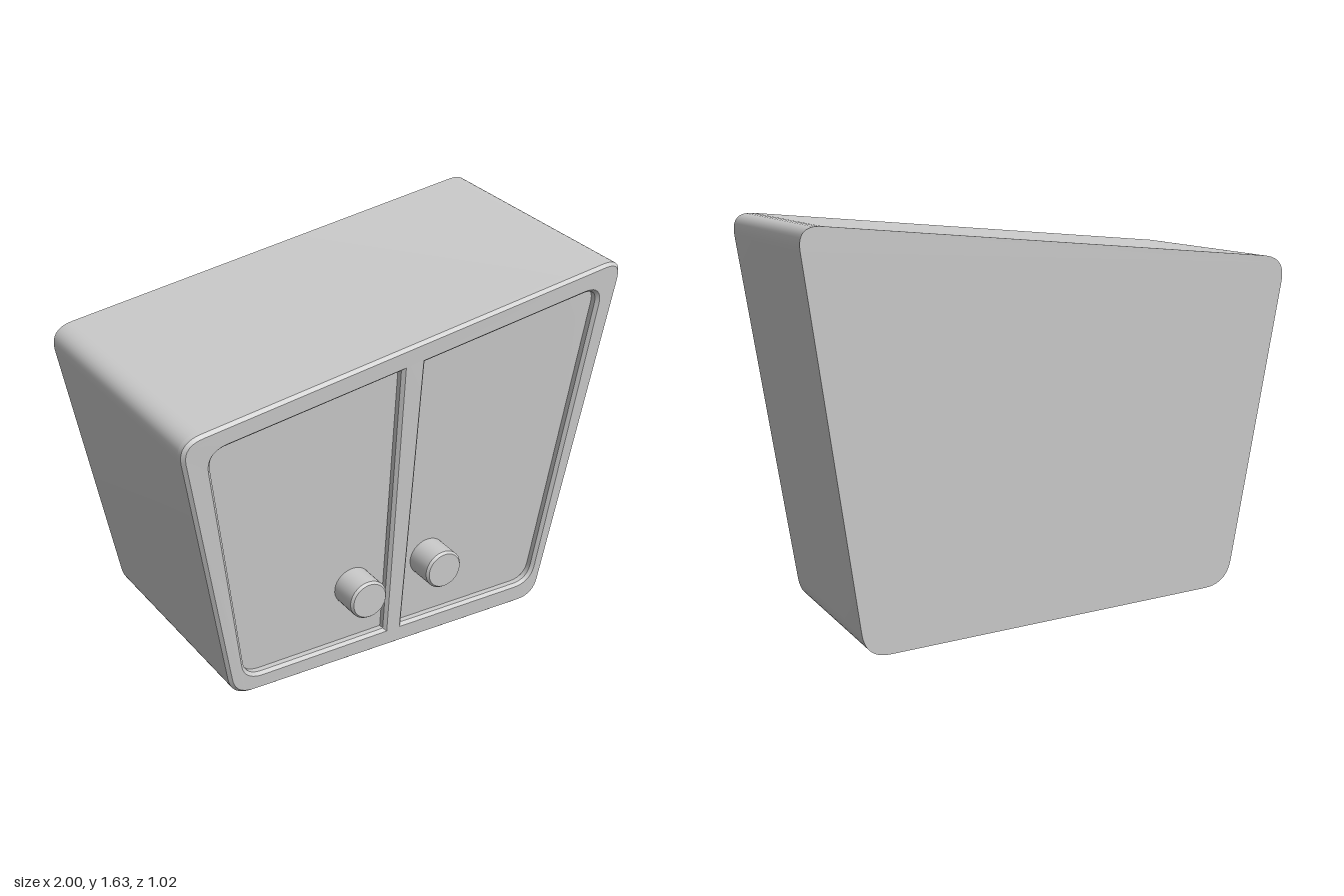
import * as THREE from 'three';
import { toCreasedNormals } from 'three/addons/utils/BufferGeometryUtils.js';

const BACK = -0.51, RECESS = 0.035, BEVEL = 0.013;

// Closed polygon whose corners [x, y, r] are rounded off over a distance r
function roundedPath(corners, path) {
  const pts = corners.map(([x, y]) => new THREE.Vector2(x, y));
  const n = pts.length;
  const toward = (a, b, d) => a.clone().add(b.clone().sub(a).setLength(d));
  corners.forEach(([x, y, r], i) => {
    const prev = pts[(i + n - 1) % n], next = pts[(i + 1) % n];
    const a = r ? toward(pts[i], prev, r) : pts[i];
    if (i) path.lineTo(a.x, a.y);
    else path.moveTo(a.x, a.y);
    if (r) {
      const b = toward(pts[i], next, r);
      path.quadraticCurveTo(x, y, b.x, b.y);
    }
  });
  path.closePath();
  return path;
}

// The front leans forward from the skewed bottom edge to the skewed top edge
function frontZ(x, y) {
  const bottom = 0.068 - 0.089 * x, top = 1.553 + 0.086 * x;
  return 0.39 + 0.12 * (y - bottom) / (top - bottom);
}

function moveZ(geometry, rule) {
  const p = geometry.attributes.position;
  for (let i = 0; i < p.count; i++) p.setZ(i, rule(p.getX(i), p.getY(i), p.getZ(i)));
  return geometry;
}

export function createModel() {
  const group = new THREE.Group();
  const material = new THREE.MeshStandardMaterial({ color: 0xcccccc });
  const add = (name, geometry) => {
    const mesh = new THREE.Mesh(toCreasedNormals(geometry, 0.5), material);
    mesh.name = name;
    group.add(mesh);
    return mesh;
  };

  const outline = () => roundedPath([
    [-0.773, 0.137, 0.1], [0.773, -0.003, 0.1], [1.013, 1.64, 0.1], [-1.015, 1.466, 0.1],
  ], new THREE.Shape());

  // Solid cabinet, its front face forming the two recessed door panels
  const body = new THREE.ExtrudeGeometry(outline(), { depth: 1, bevelEnabled: false, curveSegments: 10 });
  add('cabinetBody', moveZ(body, (x, y, z) => (z > 0.5 ? frontZ(x, y) - RECESS : BACK)));

  // Front frame with centre post and two chamfered door openings
  const frameShape = outline();
  frameShape.holes.push(
    roundedPath([[-0.713, 0.218, 0.08], [-0.045, 0.168, 0], [-0.053, 1.452, 0], [-0.893, 1.382, 0.08]], new THREE.Path()),
    roundedPath([[0.045, 0.162, 0], [0.728, 0.105, 0.08], [0.903, 1.532, 0.08], [0.053, 1.46, 0]], new THREE.Path()),
  );
  const frame = new THREE.ExtrudeGeometry(frameShape, {
    depth: RECESS - BEVEL, curveSegments: 10,
    bevelSize: BEVEL, bevelThickness: BEVEL, bevelOffset: -BEVEL, bevelSegments: 1,
  });
  add('doorFrame', moveZ(frame, (x, y, z) => z + frontZ(x, y) - RECESS));

  // Slightly skewed round door knobs with chamfered rims
  const profile = [[0, 0], [0.086, 0], [0.086, 0.125], [0.077, 0.135], [0, 0.135]]
    .map(([r, h]) => new THREE.Vector2(r, h));
  for (const [name, x] of [['rightDoorKnob', -0.196], ['leftDoorKnob', 0.175]]) {
    const knob = new THREE.LatheGeometry(profile, 32).rotateX(Math.PI / 2);
    knob.applyMatrix4(new THREE.Matrix4().set(
      1, -0.12, 0, 0,
      0, 1.06, 0, 0,
      0, 0.04, 1, 0,
      0, 0, 0, 1,
    ));
    add(name, knob).position.set(x, 0.449, 0.37);
  }
  return group;
}
